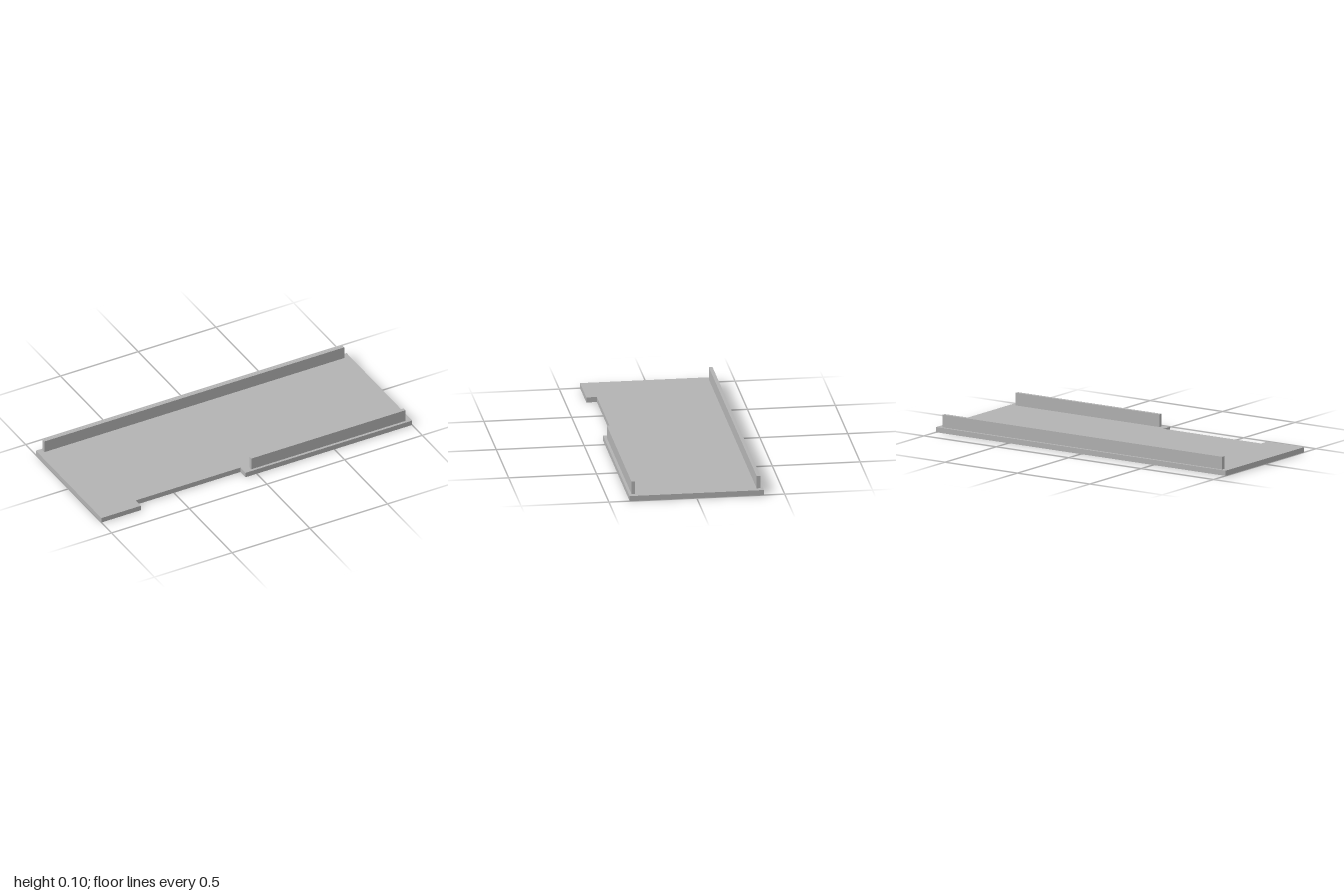
import * as THREE from 'three';

const BASE_H = 0.03, TOP = 0.103, HALF_D = 0.382;

export function createModel() {
  const group = new THREE.Group();
  const grey = new THREE.MeshStandardMaterial({ color: 0xb3b3b3 });
  grey.name = 'plain grey';

  // Base plate outline in (x, z), with a shallow notch in the front edge
  const outline = new THREE.Shape([
    [-1, -HALF_D], [1, -HALF_D], [1, HALF_D], [-0.073, HALF_D],
    [-0.073, 0.322], [-0.746, 0.322], [-0.746, HALF_D], [-1, HALF_D],
  ].map(([x, z]) => new THREE.Vector2(x, z)));
  const plateGeo = new THREE.ExtrudeGeometry(outline, { depth: BASE_H, bevelEnabled: false });
  plateGeo.rotateX(Math.PI / 2).translate(0, BASE_H, 0);
  const plate = new THREE.Mesh(plateGeo, grey);
  plate.name = 'basePlate';
  group.add(plate);

  // Upright rails standing on the plate
  const addRail = (name, x0, x1, z) => {
    const rail = new THREE.Mesh(new THREE.BoxGeometry(x1 - x0, TOP - BASE_H, 0.021), grey);
    rail.position.set((x0 + x1) / 2, (TOP + BASE_H) / 2, z);
    rail.name = name;
    group.add(rail);
  };
  addRail('backRail', -0.965, 0.965, -0.356);
  addRail('frontRail', -0.027, 0.965, 0.356);

  return group;
}
